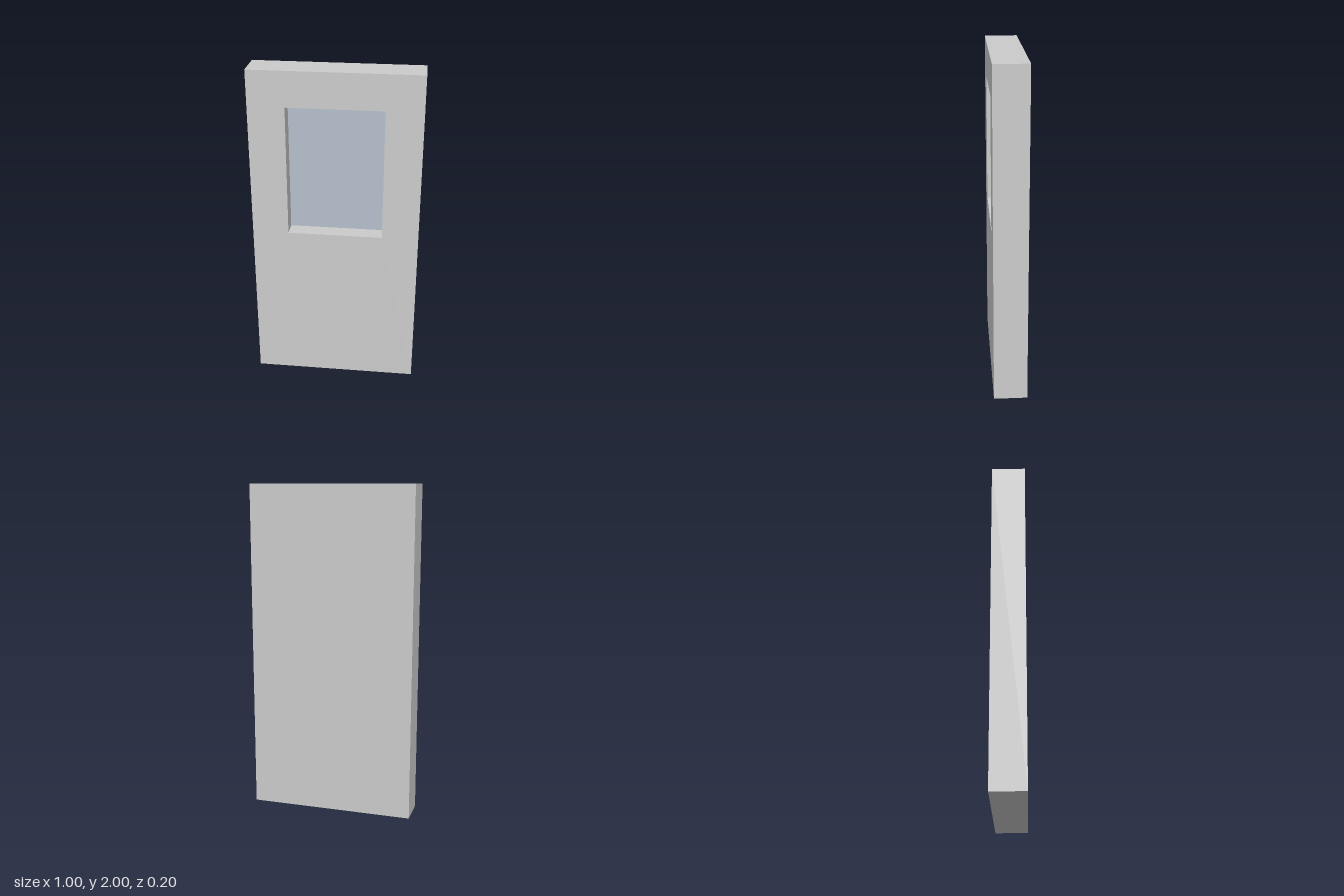
import * as THREE from 'three';
import { mergeGeometries } from 'three/addons/utils/BufferGeometryUtils.js';

const W = 1, H = 2, D = 0.2;                                   // door slab
const WIN = { w: 0.566, y0: 1.0, y1: 1.79, depth: 0.1 };       // window recess

function rectPoints(w, y0, y1) {
  return [[-w / 2, y0], [w / 2, y0], [w / 2, y1], [-w / 2, y1]].map(([x, y]) => new THREE.Vector2(x, y));
}

// Walls along a closed outline from zBack to zFront, facing outwards (or inwards)
function walls(points, zBack, zFront, inward) {
  return points.map((a, i) => {
    const b = points[(i + 1) % points.length];
    const [p, q] = inward ? [b, a] : [a, b];
    const g = new THREE.BufferGeometry();
    g.setAttribute('position', new THREE.Float32BufferAttribute([
      p.x, p.y, zBack, q.x, q.y, zBack, q.x, q.y, zFront, p.x, p.y, zFront], 3));
    g.setAttribute('uv', new THREE.Float32BufferAttribute([0, 0, 1, 0, 1, 1, 0, 1], 2));
    g.setIndex([0, 1, 2, 0, 2, 3]);
    g.computeVertexNormals();
    return g;
  });
}

export function createModel() {
  const group = new THREE.Group();
  const outer = rectPoints(W, 0, H);
  const opening = rectPoints(WIN.w, WIN.y0, WIN.y1);
  const zPane = D / 2 - WIN.depth;

  // Door slab: front with opening, plain back, outer edges and recess sides
  const face = new THREE.Shape(outer);
  face.holes.push(new THREE.Path(opening));
  const front = new THREE.ShapeGeometry(face).translate(0, 0, D / 2);
  const back = new THREE.PlaneGeometry(W, H).rotateY(Math.PI).translate(0, H / 2, -D / 2);
  const slab = new THREE.Mesh(
    mergeGeometries([front, back, ...walls(outer, -D / 2, D / 2, false), ...walls(opening, zPane, D / 2, true)]),
    new THREE.MeshStandardMaterial({ color: 0xcccccc }));
  slab.name = 'doorSlab';
  group.add(slab);

  // Window pane at the bottom of the recess
  const pane = new THREE.Mesh(
    new THREE.PlaneGeometry(WIN.w, WIN.y1 - WIN.y0).translate(0, (WIN.y0 + WIN.y1) / 2, zPane),
    new THREE.MeshStandardMaterial({ color: 0xb5c0cc }));
  pane.name = 'windowPane';
  group.add(pane);

  return group;
}
